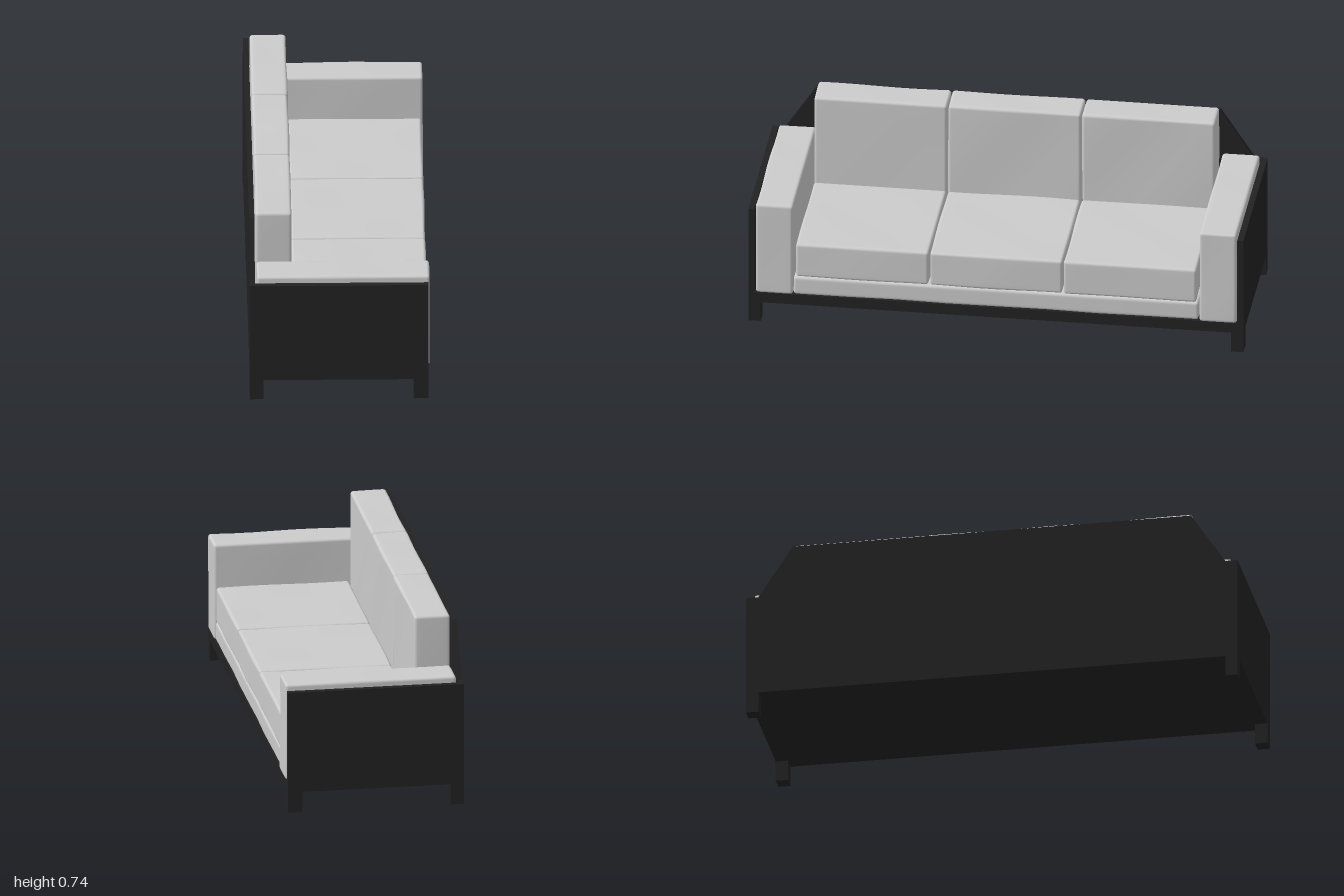
import * as THREE from 'three';
import { mergeVertices } from 'three/addons/utils/BufferGeometryUtils.js';

const frameMat = new THREE.MeshStandardMaterial({ color: 0x222222 });
const fabricMat = new THREE.MeshStandardMaterial({ color: 0xcccccc });

// Box given by its [min, max] along each axis
function board(name, [x0, x1], [y0, y1], [z0, z1]) {
  const mesh = new THREE.Mesh(new THREE.BoxGeometry(x1 - x0, y1 - y0, z1 - z0), frameMat);
  mesh.position.set((x0 + x1) / 2, (y0 + y1) / 2, (z0 + z1) / 2);
  mesh.name = name;
  return mesh;
}

// Soft box: rounded edges, plus shallow waves across the faces
function cushion(name, xs, ys, zs, phase = 0, radius = 0.012) {
  const N = 14, RIM = 3, WAVE = 0.002;
  const ranges = [xs, ys, zs];
  const half = ranges.map(([a, b]) => (b - a) / 2);
  let geo = new THREE.BoxGeometry(2, 2, 2, N, N, N);
  const pos = geo.attributes.position;

  // Concentrate the outer grid lines within the rounded rim
  const spread = (t, h) => {
    const k = Math.round((Math.abs(t) * N) / 2);
    const inner = N / 2 - RIM;
    const d = k <= inner
      ? (k / inner) * (h - radius)
      : h - radius + (radius * (k - inner)) / RIM;
    return Math.sign(t) * d;
  };

  const p = new THREE.Vector3(), core = new THREE.Vector3(), dir = new THREE.Vector3();
  const inner = new THREE.Vector3(...half).subScalar(radius);
  const outer = inner.clone().negate();
  for (let i = 0; i < pos.count; i++) {
    p.set(spread(pos.getX(i), half[0]), spread(pos.getY(i), half[1]), spread(pos.getZ(i), half[2]));
    core.copy(p).clamp(outer, inner);
    dir.copy(p).sub(core).normalize();
    const wave = WAVE * Math.sin(13 * p.x + phase) * Math.cos(11 * p.z + 9 * p.y + 2 * phase);
    p.copy(core).addScaledVector(dir, radius + wave);
    pos.setXYZ(i, p.x, p.y, p.z);
  }
  geo.deleteAttribute('uv');
  geo.deleteAttribute('normal');
  geo = mergeVertices(geo, 1e-5);
  geo.computeVertexNormals();

  const mesh = new THREE.Mesh(geo, fabricMat);
  mesh.position.set(...ranges.map(([a, b]) => (a + b) / 2));
  mesh.name = name;
  return mesh;
}

export function createModel() {
  const sofa = new THREE.Group();
  sofa.name = 'sofa';

  // Frame: deck, end panels and legs
  const frame = new THREE.Group();
  frame.name = 'frame';
  frame.add(board('deck', [-0.342, 0.352], [0.085, 0.13], [-0.975, 0.975]));
  for (const s of [-1, 1]) {
    const side = s > 0 ? 'left' : 'right';
    const span = (a, b) => (s > 0 ? [a, b] : [-b, -a]);
    frame.add(board(`${side}EndPanel`, [-0.342, 0.352], [0.085, 0.505], span(0.975, 1)));
    frame.add(board(`${side}BackLeg`, [-0.363, -0.308], [0, 0.085], span(0.95, 1)));
    frame.add(board(`${side}FrontLeg`, [0.293, 0.352], [0, 0.085], span(0.95, 1)));
  }

  // Back panel with sloped shoulders
  const outline = [[1, 0.085], [1, 0.505], [0.95, 0.505], [0.81, 0.717]];
  const mirrored = outline.map(([z, y]) => [-z, y]).reverse();
  const shape = new THREE.Shape([...outline, ...mirrored].map(([z, y]) => new THREE.Vector2(z, y)));
  const backGeo = new THREE.ExtrudeGeometry(shape, { depth: 0.021, bevelEnabled: false });
  const back = new THREE.Mesh(backGeo, frameMat);
  back.rotation.y = Math.PI / 2;
  back.position.x = -0.363;
  back.name = 'backPanel';
  frame.add(back);
  sofa.add(frame);

  // Upholstery
  const upholstery = new THREE.Group();
  upholstery.name = 'upholstery';
  upholstery.add(cushion('basePad', [-0.337, 0.35], [0.13, 0.209], [-0.818, 0.818], 1));
  upholstery.add(cushion('leftArmCushion', [-0.335, 0.357], [0.13, 0.53], [0.82, 0.97], 2));
  upholstery.add(cushion('rightArmCushion', [-0.335, 0.357], [0.13, 0.53], [-0.972, -0.822], 4));
  for (let i = 0; i < 3; i++) {
    const mid = (i - 1) * 0.541;
    const zs = [mid - 0.268, mid + 0.268];
    upholstery.add(cushion(`seatCushion${i + 1}`, [-0.188, 0.35], [0.209, 0.357], zs, i * 1.7));
    upholstery.add(cushion(`backCushion${i + 1}`, [-0.337, -0.193], [0.209, 0.735], zs, i * 2.3 + 1));
  }
  sofa.add(upholstery);
  return sofa;
}
